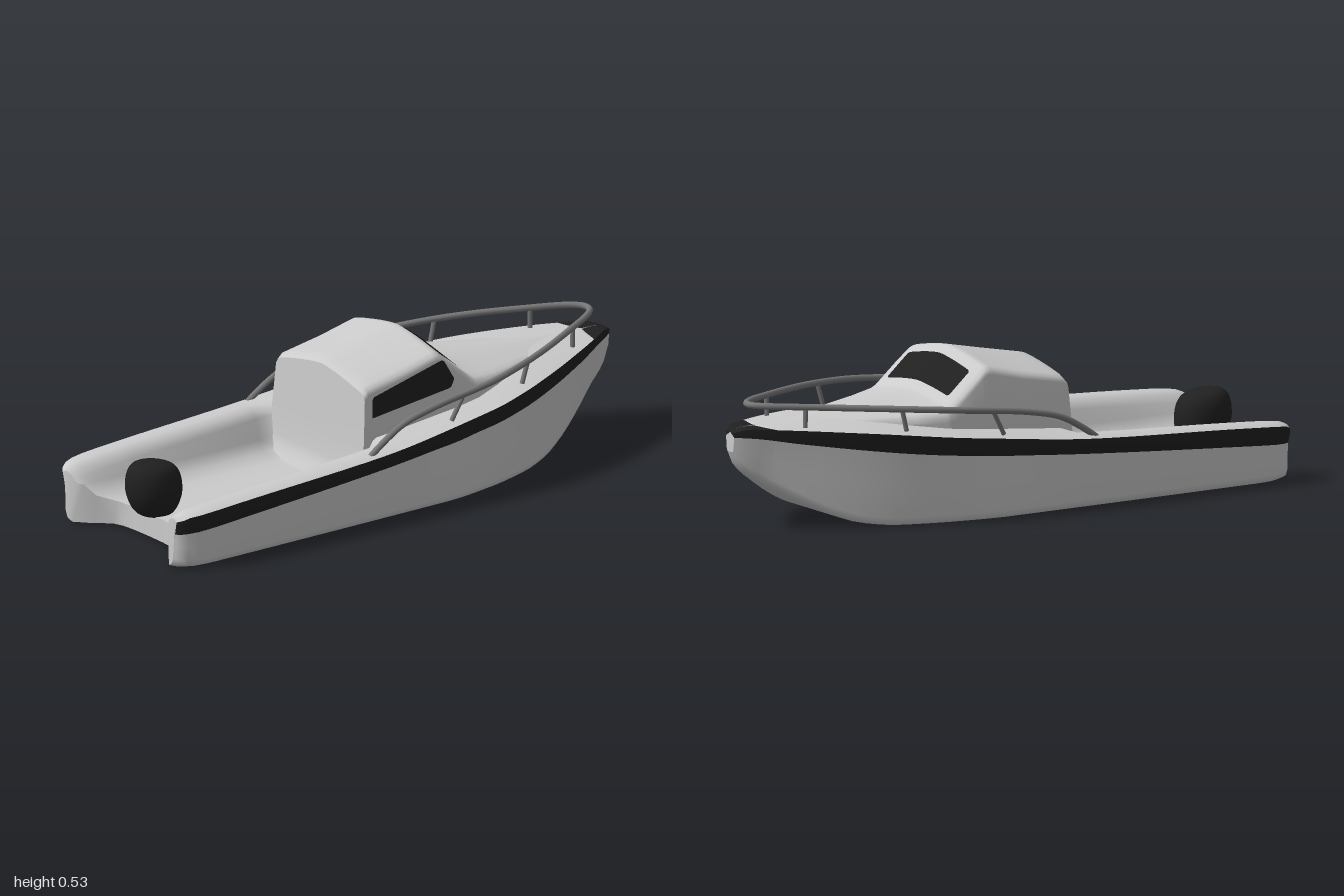
import * as THREE from 'three';

const { lerp, clamp, smoothstep } = THREE.MathUtils;
const paint = (color) => new THREE.MeshStandardMaterial({ color, side: THREE.DoubleSide });

// Smooth monotone curve through [x, value] pairs
function curve(pts) {
  const n = pts.length;
  const d = pts.slice(1).map((p, i) => (p[1] - pts[i][1]) / (p[0] - pts[i][0]));
  const m = pts.map((_, i) => {
    if (i === 0) return d[0];
    if (i === n - 1) return d[n - 2];
    return d[i - 1] * d[i] <= 0 ? 0 : (2 * d[i - 1] * d[i]) / (d[i - 1] + d[i]);
  });
  return (x) => {
    const c = clamp(x, pts[0][0], pts[n - 1][0]);
    let i = 0;
    while (i < n - 2 && c > pts[i + 1][0]) i++;
    const h = pts[i + 1][0] - pts[i][0], t = (c - pts[i][0]) / h, u = 1 - t;
    return u * u * (1 + 2 * t) * pts[i][1] + u * u * t * h * m[i] +
      t * t * (3 - 2 * t) * pts[i + 1][1] - t * t * u * h * m[i + 1];
  };
}

// Straight-line interpolation through [x, value] pairs
function linear(pts) {
  return (x) => {
    let i = 0;
    while (i < pts.length - 2 && x > pts[i + 1][0]) i++;
    const [a, b] = [pts[i], pts[i + 1]];
    return lerp(a[1], b[1], clamp((x - a[0]) / (b[0] - a[0]), 0, 1));
  };
}

// Surface through rows of points
function loft(rows) {
  const w = rows[0].length, idx = [];
  for (let i = 0; i < rows.length - 1; i++) {
    for (let j = 0; j < w - 1; j++) {
      const a = i * w + j, b = a + w;
      idx.push(a, b, a + 1, b, b + 1, a + 1);
    }
  }
  const g = new THREE.BufferGeometry().setFromPoints(rows.flat());
  g.setIndex(idx);
  g.computeVertexNormals();
  return g;
}
const flip = (row) => row.map((p) => new THREE.Vector3(p.x, p.y, -p.z)).reverse();

// Hull lines along the length
const keel = curve([[-1, 0.006], [-0.9, 0], [0.48, 0], [0.6, 0.012], [0.7, 0.045], [0.8, 0.095], [0.9, 0.155], [0.97, 0.21], [1, 0.265]]);
const bottomW = curve([[-1, 0.29], [-0.985, 0.315], [-0.93, 0.338], [-0.85, 0.343], [0.1, 0.338], [0.3, 0.31], [0.5, 0.25], [0.7, 0.165], [0.8, 0.115], [0.9, 0.062], [0.97, 0.033], [1, 0.02]]);
const beam = curve([[-1, 0.31], [-0.985, 0.33], [-0.93, 0.353], [-0.85, 0.359], [-0.2, 0.362], [0.3, 0.33], [0.45, 0.295], [0.6, 0.24], [0.8, 0.145], [0.9, 0.09], [0.97, 0.048], [1, 0.026]]);
const bandLow = curve([[-1, 0.122], [-0.2, 0.182], [0.4, 0.237], [0.8, 0.29], [0.95, 0.313], [1, 0.316]]);
const bandTop = curve([[-1, 0.168], [-0.96, 0.186], [-0.8, 0.2], [-0.2, 0.235], [0.2, 0.277], [0.6, 0.321], [0.9, 0.342], [0.96, 0.344], [1, 0.332]]);
const sternEdge = curve([[0, -0.88], [0.1, -0.882], [0.18, -0.905], [0.225, -0.97], [0.28, -1], [0.5, -1]]);

// Half section: keel, bilge, topside, band, gunwale, deck centre
function halfSection(x) {
  const k = keel(x), b = bottomW(x), w = beam(x), yl = bandLow(x), yt = bandTop(x);
  const r = Math.min(0.028, b * 0.5), wl = Math.max(w * 0.96, b);
  const p = [0, 0.3, 0.5, 0.65, 0.8, 1].map((f) => [f * (b - r), k]);
  p.push([b - 0.3 * r, k + 0.3 * r], [b, k + r]);
  p.push([lerp(b, wl, 0.42), lerp(k + r, yl, 0.5)], [wl, yl]);
  p.push([lerp(wl, w, 0.75), lerp(yl, yt, 0.55)], [w, yt]);
  const rim = w * (1 - smoothstep(x, 0.88, 0.905)), top = yt + 0.01;
  const well = [[rim, yt], [0.335, top], [0.295, top], [0.268, yt], [0.247, yt - 0.025],
    [0.23, 0.14], [0.205, 0.102], [0.15, 0.087], [0.09, 0.085], [0, 0.085]];
  const crown = 0.035 * (1 - smoothstep(x, 0.5, 1)), t = smoothstep(x, -0.17, -0.13);
  well.forEach(([z, y], i) => {
    const f = 1 - i / 9, inner = Math.min(z, rim - 0.018 * Math.min(i, 1));
    p.push([lerp(inner, f * rim, t), lerp(y, yt + crown * (1 - f * f), t)]);
  });
  return p.map(([z, y]) => {
    const px = x < -0.75 ? -0.75 + ((x + 0.75) * (sternEdge(z) + 0.75)) / -0.25 : x;
    return new THREE.Vector3(px, y, z);
  });
}

// Cabin lines along the length
const roofMid = linear([[-0.17, 0.455], [-0.155, 0.468], [0, 0.499], [0.13, 0.526], [0.145, 0.525], [0.165, 0.51], [0.275, 0.405], [0.3, 0.392], [0.4, 0.38], [0.6, 0.362], [0.78, 0.35]]);
const roofEdge = linear([[-0.17, 0.415], [-0.155, 0.432], [0, 0.46], [0.13, 0.491], [0.145, 0.488], [0.165, 0.472], [0.275, 0.378], [0.3, 0.365], [0.4, 0.353], [0.6, 0.344], [0.78, 0.34]]);
const cabinW = linear([[0.2, 0.25], [0.3, 0.242], [0.4, 0.212], [0.6, 0.135], [0.78, 0.04]]);
const cabinSide = (x, y) => cabinW(x) - 0.094 * Math.max(0, y - 0.3);
const shoulder = (x) => cabinSide(x, roofEdge(x)) * 0.9;
const roofY = (x, z) => lerp(roofMid(x), roofEdge(x), (Math.abs(z) / shoulder(x)) ** 1.4);

function cabinHalf(x) {
  const ye = roofEdge(x), sh = shoulder(x), s = cabinSide(x, ye);
  const base = x < -0.1 ? 0.08 : bandTop(x) - 0.01;
  const p = [0, 0.06, 0.13, 0.22, 0.5].map((f) => lerp(base, ye, f)).concat(ye - 0.025).map((y) => [cabinSide(x, y), y]);
  p.push([lerp(s, sh, 0.25), ye - 0.009]);
  for (const f of [1, 0.85, 0.65, 0.45, 0.25, 0.1, 0]) p.push([f * sh, roofY(x, f * sh)]);
  // the aft wall rakes back and flares into the cockpit floor
  const rake = (y) => 0.07 * (0.42 - y) + 3 * Math.max(0, 0.18 - y) ** 2;
  return p.map(([z, y]) => new THREE.Vector3(x < -0.165 ? x - rake(y) : x, y, z));
}

export function createModel() {
  const boat = new THREE.Group();
  const grey = paint(0xcccccc), dark = paint(0x202020), steel = paint(0x777777);
  const add = (name, geometry, material) => {
    const mesh = new THREE.Mesh(geometry, material);
    mesh.name = name;
    boat.add(mesh);
  };

  // Hull, rubbing band and deck
  const xs = [-1, -0.995, -0.985, -0.965, -0.93, -0.89, -0.85, -0.8, -0.75];
  for (let x = -0.65; x < -0.2; x += 0.1) xs.push(x);
  for (let x = -0.17; x < 0.86; x += 0.04) xs.push(x);
  xs.push(0.88, 0.89, 0.905, 0.92, 0.935, 0.955, 0.975, 0.99, 1);
  const halves = xs.map(halfSection);
  const part = (a, b) => halves.map((h) => h.slice(a, b));
  add('hull', loft(part(0, 10).map((h) => [...flip(h), ...h.slice(1)])), grey);
  add('leftBand', loft(part(9, 12)), dark);
  add('rightBand', loft(part(9, 12).map(flip)), dark);
  add('deck', loft(part(12, 22).map((h) => [...h, ...flip(h).slice(1)])), grey);

  // Dark cap over the bow tip
  const tip = halves.filter((h, i) => xs[i] >= 0.88).map((h) => h.slice(11, 13));
  add('leftBowCap', loft(tip), dark);
  add('rightBowCap', loft(tip.map(flip)), dark);

  // End walls join the lower and upper halves of the first and last sections
  [['transom', halves[0]], ['stem', halves[halves.length - 1]]].forEach(([name, h]) => {
    const upper = [...h].reverse();
    [[0, 10, grey, name], [9, 11, dark, name + 'Band']].forEach(([a, b, mat, label]) => {
      const lo = h.slice(a, b), up = upper.slice(a, b);
      add(label + 'Left', loft([up, lo]), mat);
      add(label + 'Right', loft([flip(up), flip(lo)]), mat);
    });
  });

  // Cabin and foredeck trunk
  const cx = [-0.17, -0.163, -0.155, -0.12, -0.06, 0, 0.07, 0.12, 0.13, 0.138, 0.145, 0.155, 0.165, 0.2, 0.235, 0.265, 0.275, 0.287, 0.3, 0.35, 0.4, 0.5, 0.6, 0.7, 0.78];
  const cabinRows = cx.map(cabinHalf);
  add('cabin', loft(cabinRows.map((h) => [...h, ...flip(h).slice(1)])), grey);
  const back = cabinRows[0];
  add('cabinBack', loft([back, back.map((p) => new THREE.Vector3(p.x, p.y, -p.z))]), grey);

  // Windscreen follows the slope of the cabin front
  const glassRows = [0.174, 0.18, 0.2, 0.23, 0.255, 0.26].map((x, i) => {
    const half = i % 5 === 0 ? 0.176 : 0.183, row = [];
    for (let j = 0; j <= 20; j++) {
      const z = half * (1 - j / 10);
      row.push(new THREE.Vector3(x + 0.003, roofY(x, z) + 0.003, z));
    }
    return row;
  });
  add('windscreen', loft(glassRows), dark);

  // Side window lies on the sloping cabin side
  const outline = [[-0.147, 0.329], [0.172, 0.365], [0.182, 0.37], [0.195, 0.393], [0.158, 0.46], [0.148, 0.465], [-0.135, 0.399], [-0.142, 0.39]];
  const pane = new THREE.ShapeGeometry(new THREE.Shape(outline.map(([x, y]) => new THREE.Vector2(x, y))));
  const pos = pane.attributes.position;
  for (let i = 0; i < pos.count; i++) pos.setZ(i, cabinSide(pos.getX(i), pos.getY(i)) + 0.003);
  pane.computeVertexNormals();
  add('sideWindow', pane, dark);

  // Bow rail and its posts
  const railHalf = [[-0.22, 0.235, 0.335], [-0.17, 0.27, 0.334], [-0.08, 0.318, 0.331], [0.05, 0.348, 0.327], [0.3, 0.378, 0.311],
    [0.45, 0.391, 0.27], [0.6, 0.401, 0.21], [0.78, 0.41, 0.118], [0.88, 0.414, 0.062], [0.92, 0.415, 0.025]]
    .map((p) => new THREE.Vector3(...p));
  const path = new THREE.CatmullRomCurve3([...railHalf, new THREE.Vector3(0.928, 0.415, 0), ...flip(railHalf)]);
  add('bowRail', new THREE.TubeGeometry(path, 120, 0.011, 10), steel);
  const posts = [[0.13, 0.28, 0.315, 0.175, 0.362, 0.32], [0.47, 0.318, 0.25, 0.49, 0.392, 0.254], [0.78, 0.33, 0.115, 0.78, 0.408, 0.117]];
  for (const [x0, y0, z0, x1, y1, z1] of posts) {
    for (const s of [1, -1]) {
      const line = new THREE.LineCurve3(new THREE.Vector3(x0, y0, s * z0), new THREE.Vector3(x1, y1, s * z1));
      add('railPost', new THREE.TubeGeometry(line, 1, 0.008, 8), steel);
    }
  }

  // Outboard engine: a tall boxy cowl, lower towards the bow
  const cowl = new THREE.SphereGeometry(1, 32, 32);
  const cp = cowl.attributes.position, soft = (v, e) => Math.sign(v) * Math.abs(v) ** e;
  for (let i = 0; i < cp.count; i++) {
    const a = cp.getX(i), c = cp.getZ(i), ring = Math.hypot(a, c);
    const y = cp.getY(i), swell = ring > 1e-6 ? ring ** -0.5 : 0;
    const taper = y < 0 ? 1 + 0.2 * y : 1, x = a * swell * taper;
    cp.setXYZ(i, -0.86 + 0.1 * x, 0.168 + 0.095 * soft(y, 0.8) - 0.012 * x, 0.085 * c * swell * taper);
  }
  cowl.computeVertexNormals();
  add('engineCowl', cowl, dark);

  return boat;
}
